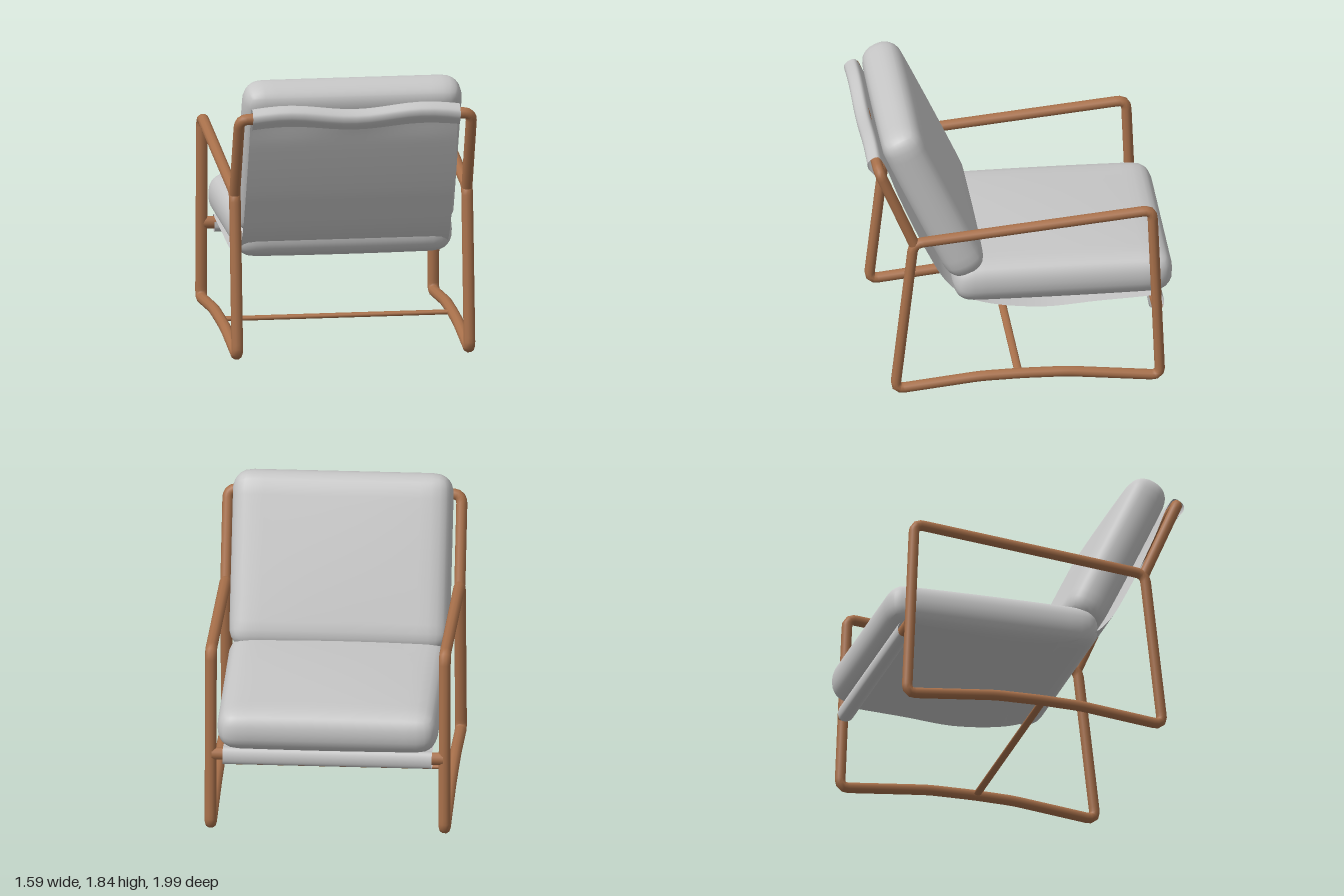
import * as THREE from 'three';
import { mergeVertices } from 'three/addons/utils/BufferGeometryUtils.js';

const wood = new THREE.MeshStandardMaterial({ color: 0xa9714b });
wood.name = 'wood';
const fabric = new THREE.MeshStandardMaterial({ color: 0xc6c6c6, side: THREE.DoubleSide });
fabric.name = 'greyFabric';

const V = (x, y, z) => new THREE.Vector3(x, y, z);

// Straight runs joined by short rounded corners
function roundedPath(points, radius, closed) {
  const path = new THREE.CurvePath();
  const n = points.length;
  const start = closed ? points[n - 1].clone().lerp(points[0], 0.5) : points[0];
  const end = closed ? start : points[n - 1];
  let from = start;
  for (let i = closed ? 0 : 1; i < (closed ? n : n - 1); i++) {
    const p = points[i];
    const prev = points[(i + n - 1) % n];
    const next = points[(i + 1) % n];
    const a = p.clone().add(prev.clone().sub(p).setLength(radius));
    const b = p.clone().add(next.clone().sub(p).setLength(radius));
    path.add(new THREE.LineCurve3(from, a));
    path.add(new THREE.QuadraticBezierCurve3(a, p, b));
    from = b;
  }
  path.add(new THREE.LineCurve3(from, end));
  return path;
}

// Soft box: corners rounded by r, large faces swollen by crown
function cushionGeometry(w, h, d, r, crown) {
  let g = new THREE.BoxGeometry(2, 2, 2, 20, 10, 20);
  g.deleteAttribute('uv');
  g.deleteAttribute('normal');
  g = mergeVertices(g);
  const half = V(w / 2, h / 2, d / 2);
  const inner = half.clone().subScalar(r);
  const pos = g.attributes.position;
  const p = V(0, 0, 0);
  for (let i = 0; i < pos.count; i++) {
    p.fromBufferAttribute(pos, i);
    p.set(...p.toArray().map((c) => Math.sin(c * Math.PI / 2))).multiply(half);
    const core = p.clone().clamp(inner.clone().negate(), inner);
    p.sub(core).setLength(r).add(core);
    const u = p.x / half.x;
    const v = p.z / half.z;
    p.y += crown * (p.y / half.y) * (1 - u * u) * (1 - v * v);
    pos.setXYZ(i, p.x, p.y, p.z);
  }
  g.computeVertexNormals();
  return g;
}

// Sheet of cloth: a side profile swept across the chair, with sleeves at both ends
function slingGeometry(width) {
  const profile = new THREE.CatmullRomCurve3([
    [1.565, 0.945], [1.62, 0.99], [1.665, 0.99], [1.70, 0.93], [1.64, 0.885],
    [1.42, 0.80], [1.15, 0.685], [0.98, 0.605], [0.78, 0.495], [0.655, 0.37],
    [0.59, 0.22], [0.54, -0.14], [0.56, -0.5], [0.578, -0.85],
    [0.585, -0.91], [0.54, -0.935], [0.485, -0.925], [0.475, -0.88],
    [0.50, -0.84], [0.55, -0.835],
  ].map(([y, z]) => V(0, y, z)), false, 'centripetal');
  const rows = 120;
  const line = profile.getPoints(rows);
  const g = new THREE.PlaneGeometry(width, 1, 16, rows);
  const pos = g.attributes.position;
  for (let i = 0; i < pos.count; i++) {
    const p = line[Math.floor(i / 17)];
    const x = pos.getX(i);
    const wave = THREE.MathUtils.smoothstep(p.y, 1.45, 1.6) * -0.018 * Math.cos(Math.PI * x / 0.45);
    pos.setXYZ(i, x, p.y + wave, p.z);
  }
  g.computeVertexNormals();
  return g;
}

export function createModel() {
  const group = new THREE.Group();
  const add = (name, geometry, material) => {
    const mesh = new THREE.Mesh(geometry, material);
    mesh.name = name;
    group.add(mesh);
    return mesh;
  };

  // Side loops: armrest, legs and arched floor runner in one bent rod
  const sidePath = roundedPath([
    V(0, 1.248, -0.85), V(0, 0.037, -0.9), V(0, 0.1, -0.3), V(0, 0.104, 0),
    V(0, 0.098, 0.27), V(0, 0.037, 0.825), V(0, 1.095, 0.705),
  ], 0.06, true);
  const sideGeometry = new THREE.TubeGeometry(sidePath, 200, 0.034, 10, true);
  sideGeometry.scale(1.12, 1, 1);
  for (const [name, s] of [['leftSideFrame', 1], ['rightSideFrame', -1]]) {
    add(name, sideGeometry, wood).position.x = s * 0.758;
  }

  // Back posts and top rail as one bent rod
  const backPath = roundedPath([
    V(-0.758, 1.09, 0.70), V(-0.758, 1.635, 0.93), V(0.758, 1.635, 0.93), V(0.758, 1.09, 0.70),
  ], 0.06, false);
  add('backPostsAndTopRail', new THREE.TubeGeometry(backPath, 120, 0.036, 10), wood);

  // Cross bars between the side loops
  const bar = (name, y, z, ry, rz) => {
    const g = new THREE.CylinderGeometry(1, 1, 1.5, 12);
    g.rotateZ(Math.PI / 2);
    g.scale(1, ry, rz);
    add(name, g, wood).position.set(0, y, z);
  };
  bar('frontSeatRail', 0.537, -0.882, 0.042, 0.036);
  bar('floorStretcher', 0.104, 0.02, 0.016, 0.026);

  // Sling and cushions
  add('sling', slingGeometry(1.355), fabric);
  const seat = add('seatCushion', cushionGeometry(1.43, 0.275, 1.43, 0.125, 0.032), fabric);
  seat.position.set(0, 0.723, -0.283);
  const back = add('backCushion', cushionGeometry(1.43, 0.27, 1.16, 0.125, 0.015), fabric);
  back.position.set(0, 1.305, 0.56);
  back.rotation.x = -Math.atan2(0.9, 0.42);

  return group;
}
